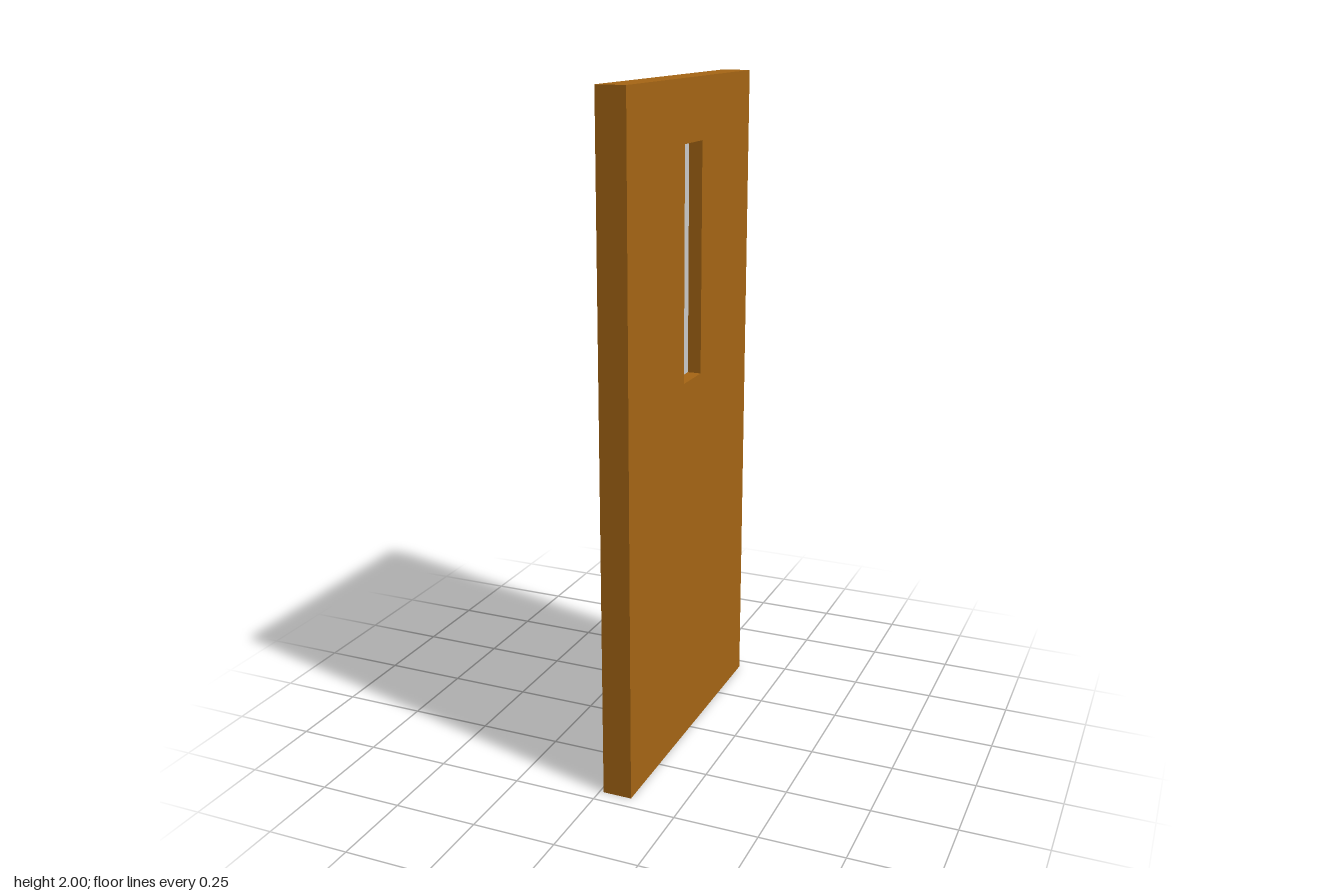
import * as THREE from 'three';

const DOOR = { x0: 0.012, x1: 0.099, halfZ: 0.457, height: 2 };
const WINDOW = { halfZ: 0.066, y0: 1.138, y1: 1.822 };
const HANDLE = { y: 0.935, z: -0.358 };

export function createModel() {
  const group = new THREE.Group();
  const wood = new THREE.MeshStandardMaterial({ color: 0xa66614 });
  const grey = new THREE.MeshStandardMaterial({ color: 0xcccccc });
  const greyFlat = new THREE.MeshStandardMaterial({ color: 0xcccccc, flatShading: true });

  const add = (name, geometry, material) => {
    const mesh = new THREE.Mesh(geometry, material);
    mesh.name = name;
    group.add(mesh);
    return mesh;
  };

  // Rectangle outline in the door's own plane
  const rectangle = (Type, w, y0, y1) => new Type([
    new THREE.Vector2(-w, y0), new THREE.Vector2(w, y0),
    new THREE.Vector2(w, y1), new THREE.Vector2(-w, y1),
  ]);

  // Door leaf with a window cut right through
  const outline = rectangle(THREE.Shape, DOOR.halfZ, 0, DOOR.height);
  outline.holes.push(rectangle(THREE.Path, WINDOW.halfZ, WINDOW.y0, WINDOW.y1));
  const leaf = new THREE.ExtrudeGeometry(outline, { depth: DOOR.x1 - DOOR.x0, bevelEnabled: false });
  leaf.rotateY(Math.PI / 2).translate(DOOR.x0, 0, 0);
  add('doorLeaf', leaf, wood);

  // Pane set midway in the opening
  const pane = new THREE.BoxGeometry(0.006, WINDOW.y1 - WINDOW.y0, WINDOW.halfZ * 2);
  pane.translate((DOOR.x0 + DOOR.x1) / 2, (WINDOW.y0 + WINDOW.y1) / 2, 0);
  add('windowPane', pane, grey);

  // Handle parts turned around the x axis, pointing away from the door
  const turned = (name, rDoor, rOut, xDoor, xOut) => {
    const geometry = new THREE.CylinderGeometry(rOut, rDoor, xDoor - xOut, 16);
    geometry.rotateZ(Math.PI / 2).translate((xDoor + xOut) / 2, HANDLE.y, HANDLE.z);
    add(name, geometry, grey);
  };
  turned('handleRose', 0.034, 0.034, DOOR.x0, -0.01);
  turned('handleCollar', 0.034, 0.018, -0.01, -0.027);
  turned('handleSpindle', 0.017, 0.017, -0.02, -0.1);

  // Six-sided lever along z, its outer side cut back at the tip
  const zStart = HANDLE.z + 0.008, zTip = -0.207;
  const lever = new THREE.CylinderGeometry(0.017, 0.017, zTip - zStart, 6);
  lever.rotateX(Math.PI / 2).translate(0, 0, (zStart + zTip) / 2);
  const p = lever.attributes.position;
  for (let i = 0; i < p.count; i++) {
    if (p.getX(i) < -0.01 && p.getZ(i) > zTip - 0.001) p.setZ(i, -0.239);
  }
  lever.translate(-0.077, HANDLE.y, 0);
  add('handleLever', lever, greyFlat);

  return group;
}
